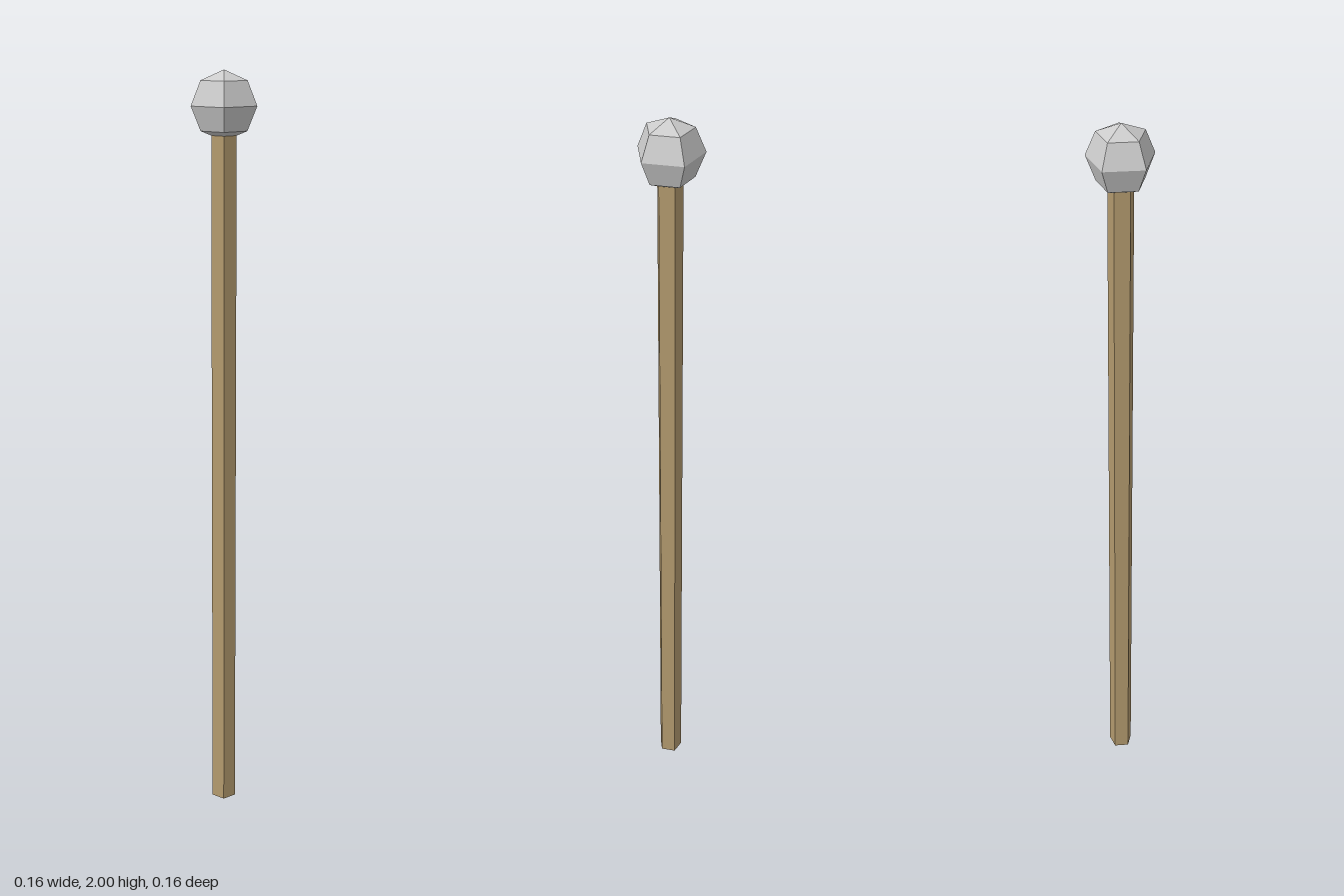
import * as THREE from 'three';

const SIDES = 5;
const AXIS_Z = 0.0075; // the pentagon's bounding box is centred, so its axis sits slightly forward
const HEAD_RADIUS = 0.0865;
const SHAFT_RADIUS = 0.0333;

function addPart(group, name, geometry, color, y) {
  const material = new THREE.MeshStandardMaterial({ color, flatShading: true });
  const mesh = new THREE.Mesh(geometry, material);
  mesh.name = name;
  mesh.position.set(0, y, AXIS_Z);
  group.add(mesh);
}

export function createModel() {
  const group = new THREE.Group();
  group.name = 'staff';

  // Five-sided wooden shaft, corner to the back, running up into the head
  const shaftHeight = 2 - HEAD_RADIUS * 1.5;
  const shaft = new THREE.CylinderGeometry(SHAFT_RADIUS, SHAFT_RADIUS, shaftHeight, SIDES, 1, false, Math.PI);
  addPart(group, 'shaft', shaft, 0xb39a6e, shaftHeight / 2);

  // Faceted knob
  const knob = new THREE.SphereGeometry(HEAD_RADIUS, SIDES, 4, -Math.PI / 2);
  addPart(group, 'knob', knob, 0xcccccc, 2 - HEAD_RADIUS);

  return group;
}
